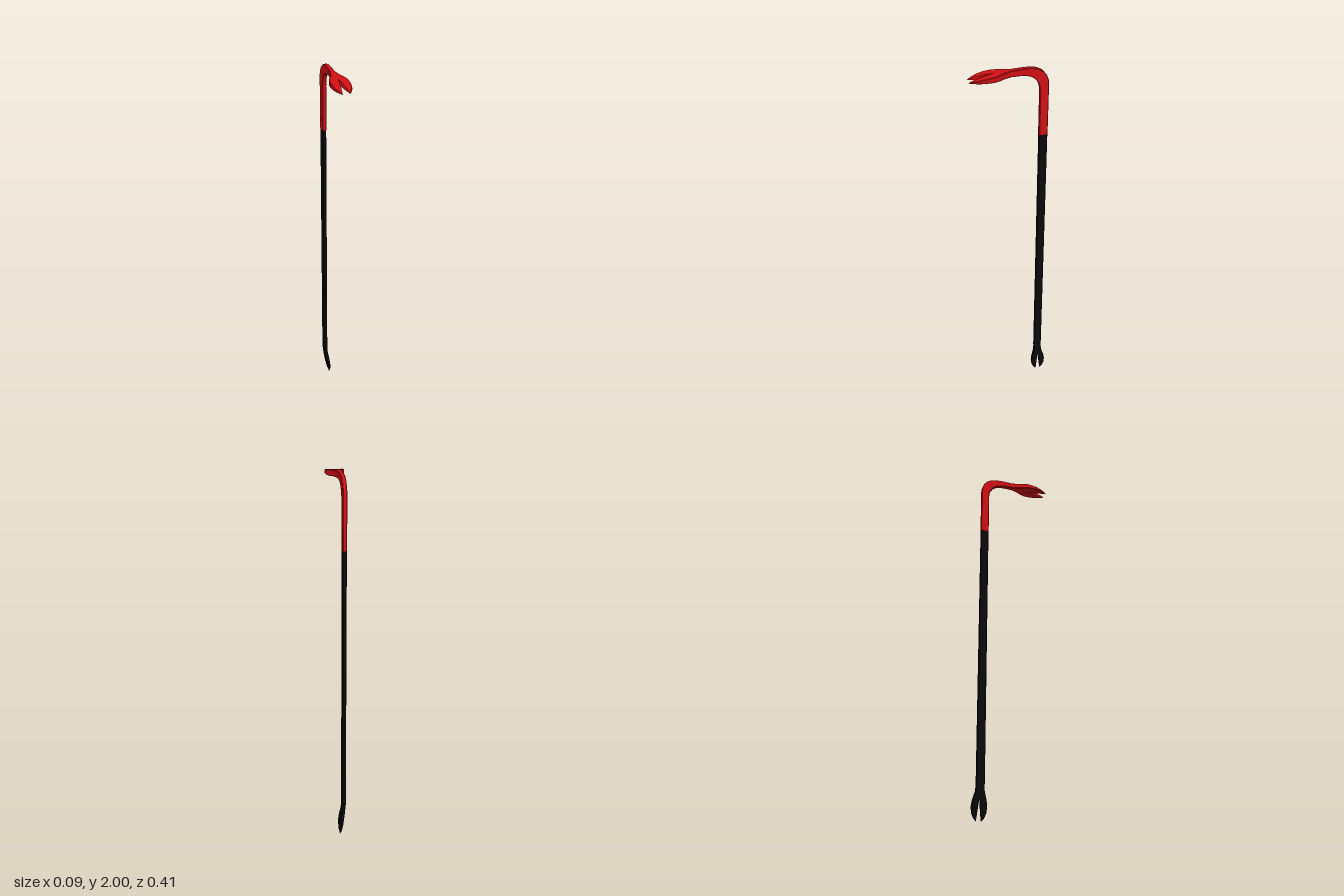
import * as THREE from 'three';
import { toCreasedNormals } from 'three/addons/utils/BufferGeometryUtils.js';

const BAR_Z = -0.165;

// Lofts one half of a symmetric bar. Each station is [pu, pv, qu, qv, inner, outer]:
// the two edges of the side profile, and the extent across the width.
// place(u, v, w) turns profile and width coordinates into a point.
function halfLoft(stations, side, place) {
  const positions = [];
  const indices = [];
  const n = 6;
  for (const [pu, pv, qu, qv, inner, outer] of stations) {
    const thick = Math.hypot(qu - pu, qv - pv);
    const c = Math.min(0.003, thick * 0.3, (outer - inner) * 0.3);
    const t = c / thick;
    const section = [[0, inner], [0, outer - c], [t, outer], [1 - t, outer], [1, outer - c], [1, inner]];
    for (const [k, w] of section) {
      positions.push(...place(pu + (qu - pu) * k, pv + (qv - pv) * k, w * side));
    }
  }
  for (let s = 0; s < stations.length - 1; s++) {
    // no wall inside the bar where the two halves meet
    const joined = stations[s][4] === 0 && stations[s + 1][4] === 0;
    for (let i = 0; i < (joined ? n - 1 : n); i++) {
      const a = s * n + i, b = s * n + (i + 1) % n;
      indices.push(a, b, b + n, a, b + n, a + n);
    }
  }
  const last = (stations.length - 1) * n;
  for (let i = 1; i < n - 1; i++) {
    indices.push(0, i + 1, i, last, last + i, last + i + 1);
  }
  // turn the faces outward
  const p = (i) => new THREE.Vector3().fromArray(positions, i * 3);
  let volume = 0;
  for (let i = 0; i < indices.length; i += 3) {
    volume += p(indices[i]).dot(p(indices[i + 1]).cross(p(indices[i + 2])));
  }
  if (volume < 0) indices.reverse();
  const geometry = new THREE.BufferGeometry();
  geometry.setAttribute('position', new THREE.Float32BufferAttribute(positions, 3));
  geometry.setIndex(indices);
  return toCreasedNormals(geometry, 0.5);
}

function symmetricPart(name, stations, place, material) {
  const group = new THREE.Group();
  group.name = name;
  for (const side of [1, -1]) {
    const mesh = new THREE.Mesh(halfLoft(stations, side, place), material);
    mesh.name = name + (side > 0 ? 'HalfA' : 'HalfB');
    group.add(mesh);
  }
  return group;
}

export function createModel() {
  const model = new THREE.Group();
  model.name = 'pryBar';
  const red = new THREE.MeshStandardMaterial({ color: 0xd01014 });
  const black = new THREE.MeshStandardMaterial({ color: 0x0b0b0b });

  // red neck, bend and split nail-pulling claw: profile in z and y, width in x
  const hook = [
    [-0.187, 1.635, -0.143, 1.635, 0, 0.011],
    [-0.187, 1.90, -0.143, 1.87, 0, 0.011],
    [-0.186, 1.925, -0.141, 1.893, 0, 0.011],
    [-0.175, 1.953, -0.134, 1.916, 0, 0.011],
    [-0.155, 1.977, -0.120, 1.938, 0, 0.011],
    [-0.130, 1.992, -0.100, 1.953, 0, 0.011],
    [-0.100, 1.999, -0.075, 1.961, 0, 0.011],
    [-0.060, 2.000, -0.045, 1.964, 0, 0.0115],
    [0.000, 1.997, 0.000, 1.965, 0, 0.014],
    [0.040, 1.995, 0.040, 1.964, 0, 0.026],
    [0.060, 1.993, 0.060, 1.963, 0, 0.037],
    [0.080, 1.991, 0.080, 1.963, 0, 0.044],
    [0.092, 1.990, 0.092, 1.963, 0.002, 0.047],
    [0.130, 1.985, 0.130, 1.963, 0.007, 0.047],
    [0.165, 1.978, 0.165, 1.963, 0.012, 0.041],
    [0.190, 1.971, 0.190, 1.963, 0.016, 0.029],
    [0.205, 1.966, 0.205, 1.963, 0.018, 0.019],
  ];
  model.add(symmetricPart('hookClaw', hook, (u, v, w) => [w, v, u], red));

  // black shaft: profile in x and y, width in z
  const across = (u, v, w) => [u, v, w];
  const shaft = symmetricPart('shaft', [
    [-0.01, 1.635, 0.01, 1.635, 0, 0.0215],
    [-0.01, 0.19, 0.01, 0.19, 0, 0.0215],
  ], across, black);
  shaft.position.z = BAR_Z;
  model.add(shaft);

  // lower split claw, bent toward +x
  const foot = [
    [-0.010, 0.190, 0.010, 0.190, 0, 0.0215],
    [-0.008, 0.170, 0.011, 0.170, 0, 0.0215],
    [-0.005, 0.145, 0.014, 0.145, 0, 0.023],
    [-0.002, 0.125, 0.017, 0.125, 0, 0.029],
    [0.003, 0.100, 0.020, 0.100, 0.003, 0.036],
    [0.008, 0.070, 0.023, 0.070, 0.006, 0.041],
    [0.013, 0.040, 0.024, 0.040, 0.009, 0.038],
    [0.017, 0.016, 0.024, 0.016, 0.011, 0.028],
    [0.020, 0.000, 0.023, 0.000, 0.013, 0.015],
  ];
  const claw = symmetricPart('footClaw', foot, across, black);
  claw.position.z = BAR_Z;
  model.add(claw);

  return model;
}
